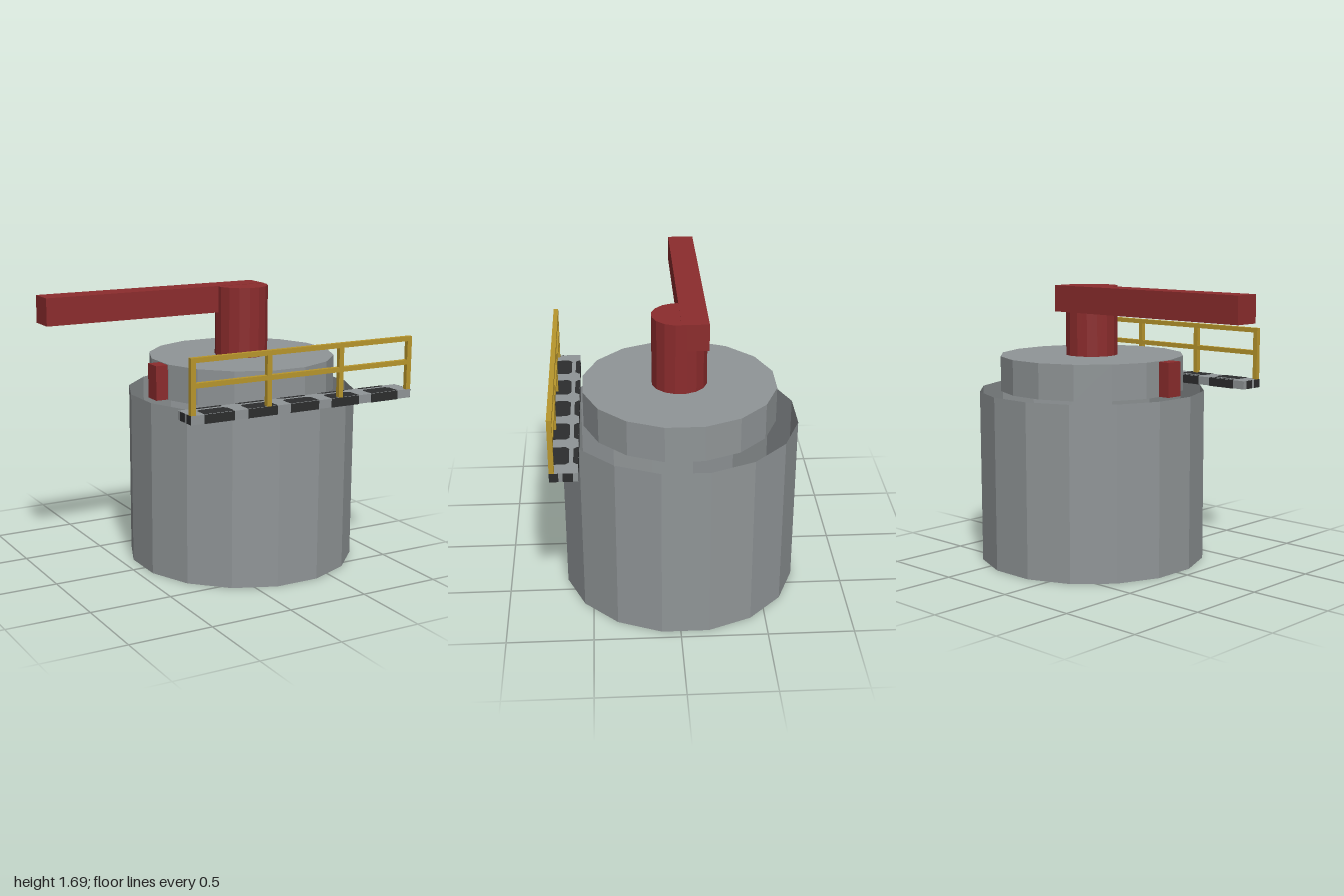
import * as THREE from 'three';

const material = (name, color, side = THREE.FrontSide) =>
  Object.assign(new THREE.MeshStandardMaterial({ color, side, flatShading: true }), { name });

export function createModel() {
  const model = new THREE.Group();
  model.name = 'tankWithBoom';
  const grey = material('concreteGrey', 0x909597, THREE.DoubleSide);
  const red = material('darkRed', 0x8c2c2d);
  const yellow = material('railYellow', 0xb8962c);
  const dark = material('stripeDark', 0x2c2d2e, THREE.DoubleSide);

  const add = (parent, name, geometry, mat, x = 0, y = 0, z = 0) => {
    const mesh = new THREE.Mesh(geometry, mat);
    mesh.name = name;
    mesh.position.set(x, y, z);
    parent.add(mesh);
    return mesh;
  };
  // Box given by its lower and upper limits on each axis
  const box = (parent, name, mat, x0, x1, y0, y1, z0, z1) =>
    add(parent, name, new THREE.BoxGeometry(x1 - x0, y1 - y0, z1 - z0), mat,
      (x0 + x1) / 2, (y0 + y1) / 2, (z0 + z1) / 2);
  // Sixteen-sided cylinder with flats facing the axes
  const drum = (name, mat, apothem, y0, y1, open) => {
    const r = apothem / Math.cos(Math.PI / 16);
    const g = new THREE.CylinderGeometry(r, r, y1 - y0, 16, 1, open, Math.PI / 16);
    return add(model, name, g, mat, 0.262, (y0 + y1) / 2, -0.027);
  };

  // Open lower shell and narrower capped collar
  drum('lowerShell', grey, 0.683, 0, 1.053, true);
  drum('upperCollar', grey, 0.556, 1.053, 1.266, true);
  const cap = new THREE.CircleGeometry(0.556 / Math.cos(Math.PI / 16), 16, Math.PI / 16);
  add(model, 'collarTop', cap.rotateX(-Math.PI / 2), grey, 0.262, 1.266, -0.027);

  // Mast, boom and the cross beam through the collar
  drum('mast', red, 0.158, 1.26, 1.688, false);
  box(model, 'boom', red, -1, 0.42, 1.53, 1.69, -0.187, -0.03);
  box(model, 'crossBeam', red, -0.37, 0.8, 1.055, 1.262, -0.03, 0.077);

  // Walkway with hazard blocks on all faces
  const walkway = new THREE.Group();
  walkway.name = 'walkway';
  model.add(walkway);
  const [x0, x1, y0, y1, z0, z1] = [-0.473, 1, 1.055, 1.106, 0.553, 0.708];
  box(walkway, 'deck', grey, x0, x1, y0, y1, z0, z1);

  const t = 0.002;
  const chamferedBlock = (w, near, far) => {
    // Block with its two corners at the "far" side cut off
    const c = 0.02 * Math.sign(far - near), h = w / 2;
    const s = new THREE.Shape([[-h, near], [h, near], [h, far - c], [h - 0.02, far],
      [-h + 0.02, far], [-h, far - c]].map(([x, z]) => new THREE.Vector2(x, z)));
    return new THREE.ShapeGeometry(s).rotateX(Math.PI / 2);
  };
  for (let i = 0; i < 5; i++) {
    const x = -0.295 + i * 0.277, w = 0.19;
    for (const y of [y0 - t, y1 + t]) {
      add(walkway, 'outerBlock', chamferedBlock(w, z1, 0.603), dark, x, y);
      add(walkway, 'innerBlock', chamferedBlock(w, z0, 0.58), dark, x, y);
    }
    box(walkway, 'frontStripe', dark, x - w / 2, x + w / 2, y0, y1, z1, z1 + t);
    box(walkway, 'backStripe', dark, x - w / 2, x + w / 2, y0, y1, z0 - t, z0);
  }
  for (const x of [x0 - t, x1]) {
    box(walkway, 'endStripe', dark, x, x + t, y0, y1, 0.658, z1);
    box(walkway, 'endStripe', dark, x, x + t, y0, y1, 0.58, 0.635);
  }

  // Guard rail along the front edge
  const rail = new THREE.Group();
  rail.name = 'guardRail';
  model.add(rail);
  for (let i = 0; i < 4; i++) {
    const x = -0.473 + i * 0.481;
    box(rail, 'post', yellow, x, x + 0.03, 1.106, 1.42, 0.68, 0.708);
  }
  for (const y of [1.256, 1.396])
    box(rail, 'railBar', yellow, x0, x1, y, y + 0.028, 0.68, 0.708);

  return model;
}
